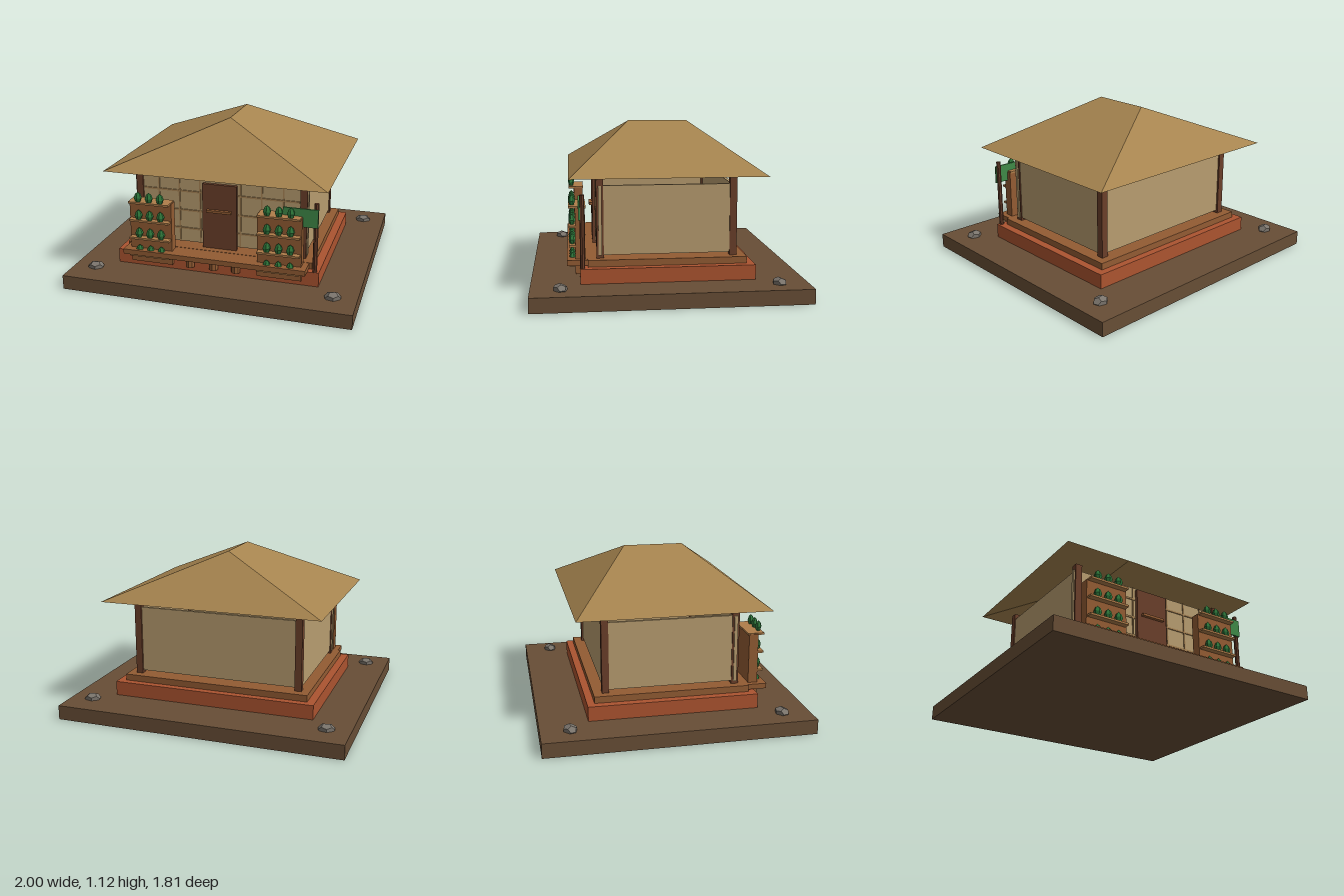
import * as THREE from 'three';

const mat = (color, extra = {}) => {
  const m = new THREE.MeshStandardMaterial({ flatShading: true, ...extra });
  m.color.set(color);
  return m;
};

export function createModel() {
  const model = new THREE.Group();
  const soil = mat(0x684e36), brick = mat(0xac5430), wood = mat(0x935c33), plank = mat(0xb07e4a);
  const darkWood = mat(0x6b3f2a), paper = mat(0xb89d70), lattice = mat(0xa98556);
  const thatch = mat(0xa6844f, { side: THREE.DoubleSide });
  const green = mat(0x3f8a48), leaf = mat(0x2f7a3c), stone = mat(0x7a746c);

  const add = (name, geometry, material, x, y, z, parent = model) => {
    const mesh = new THREE.Mesh(geometry, material);
    mesh.name = name;
    mesh.position.set(x, y, z);
    parent.add(mesh);
    return mesh;
  };
  // Box given by its extents on each axis
  const box = (name, material, [x0, x1], [y0, y1], [z0, z1], parent) =>
    add(name, new THREE.BoxGeometry(x1 - x0, y1 - y0, z1 - z0), material,
      (x0 + x1) / 2, (y0 + y1) / 2, (z0 + z1) / 2, parent);

  // Ground, foundation, floor and veranda
  box('ground', soil, [-1, 1], [0, 0.1], [-0.905, 0.905]);
  box('foundation', brick, [-0.72, 0.72], [0.1, 0.2], [-0.58, 0.58]);
  box('floor', wood, [-0.665, 0.665], [0.2, 0.245], [-0.53, 0.53]);
  box('veranda', wood, [-0.645, 0.645], [0.207, 0.243], [0.5, 0.665]);
  for (const x of [-0.18, -0.01, 0.15])
    add('verandaLeg', new THREE.CylinderGeometry(0.032, 0.032, 0.07, 8), wood, x, 0.174, 0.592);

  // Walls, leaving a gap above the floor and under the roof
  const wallY = [0.265, 0.73];
  box('frontWall', paper, [-0.618, 0.618], wallY, [0.435, 0.458]);
  box('backWall', paper, [-0.585, 0.585], wallY, [-0.458, -0.435]);
  for (const s of [-1, 1]) {
    add('sideWall', new THREE.BoxGeometry(0.023, 0.465, 0.87), paper, s * 0.59, 0.4975, 0);
    for (const z of [-0.447, 0.447])
      add('cornerPost', new THREE.BoxGeometry(0.048, 0.525, 0.048), darkWood, s * 0.585, 0.5075, z);
    // Screen lattice on the front wall
    for (const x of [0.145, 0.295, 0.445])
      add('latticeUpright', new THREE.BoxGeometry(0.01, 0.465, 0.008), lattice, s * x, 0.4975, 0.461);
    for (const y of [0.365, 0.5, 0.64])
      add('latticeRail', new THREE.BoxGeometry(0.43, 0.012, 0.008), lattice, s * 0.34, y, 0.461);
  }

  // Door
  box('door', darkWood, [-0.122, 0.122], [0.245, 0.715], [0.455, 0.482]);
  box('doorHandle', wood, [-0.088, 0.088], [0.516, 0.533], [0.482, 0.505]);

  // Hipped roof, open underneath, ridge running front to back
  const e = [0.775, 0.795, 0.65], top = 1.12, r = 0.21;
  const fl = [-e[0], e[1], e[2]], fr = [e[0], e[1], e[2]];
  const bl = [-e[0], e[1], -e[2]], br = [e[0], e[1], -e[2]];
  const rf = [0, top, r], rb = [0, top, -r];
  const roof = new THREE.BufferGeometry();
  roof.setAttribute('position', new THREE.Float32BufferAttribute([
    fl, fr, rf, br, bl, rb, fr, br, rb, fr, rb, rf, bl, fl, rf, bl, rf, rb].flat(), 3));
  roof.computeVertexNormals();
  add('roof', roof, thatch, 0, 0, 0);

  // Two plant stands flanking the door
  const bulb = new THREE.LatheGeometry(
    [[0, 0], [0.018, 0], [0.029, 0.028], [0.019, 0.055], [0, 0.07]].map(p => new THREE.Vector2(...p)), 6);
  bulb.scale(1, 1, 0.8);
  for (const s of [-1, 1]) {
    const stand = new THREE.Group();
    stand.name = 'plantStand';
    stand.position.x = s * 0.455;
    model.add(stand);
    box('standBack', wood, [-0.152, 0.152], [0.14, 0.588], [0.545, 0.61], stand);
    [0.2, 0.327, 0.458, 0.588].forEach((y, i) => {
      const last = i === 3;
      box('shelf', plank, [-0.145, 0.145], [y - 0.007, y + 0.007], [last ? 0.54 : 0.6, 0.652], stand);
      for (const x of [-0.08, 0, 0.08]) add('plant', bulb, leaf, x, y + 0.007, 0.63, stand);
    });
  }

  // Banner on a pole
  add('bannerPole', new THREE.CylinderGeometry(0.016, 0.016, 0.485, 8), darkWood, 0.69, 0.4425, 0.565);
  box('banner', green, [0.47, 0.706], [0.522, 0.648], [0.578, 0.59]);

  // Corner stones
  for (const x of [-0.84, 0.84]) for (const z of [-0.71, 0.71]) {
    const rock = add('rock', new THREE.DodecahedronGeometry(0.055, 0), stone, x, 0.108, z);
    rock.scale.set(1.05, 0.65, 0.88);
    rock.rotation.y = 0.25;
  }
  return model;
}
